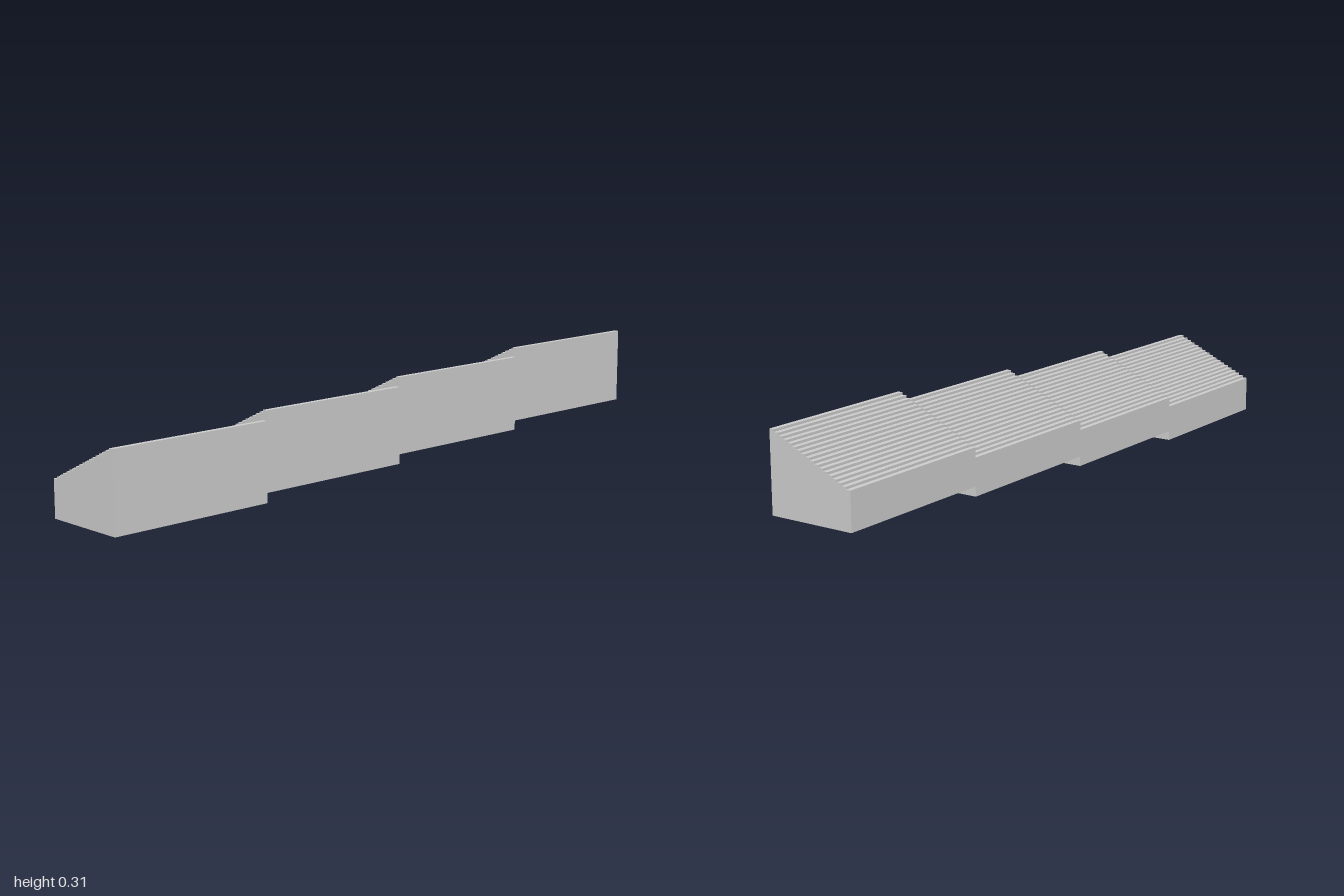
import * as THREE from 'three';

const WIDTH = 0.258, STEPS = 18, LOW = 0.107, HIGH = 0.224; // stepped slope
const SECTIONS = 4, LENGTH = 2 / SECTIONS, LIFT = 0.028; // run of sections

// Cross-section: flat sides and base, stepped slope on top
function profile() {
  const shape = new THREE.Shape();
  const tread = WIDTH / STEPS, rise = (HIGH - LOW) / (STEPS - 1);
  shape.moveTo(WIDTH / 2, 0);
  for (let i = STEPS - 1; i >= 0; i--) {
    const y = LOW + i * rise, x = -WIDTH / 2 + i * tread;
    shape.lineTo(x + tread, y);
    shape.lineTo(x, y);
  }
  shape.lineTo(-WIDTH / 2, 0);
  shape.closePath();
  return shape;
}

// Extruded shell with the base faces removed, so it is open underneath
function openShell() {
  const solid = new THREE.ExtrudeGeometry(profile(), { depth: LENGTH, bevelEnabled: false });
  const p = solid.getAttribute('position');
  const kept = [];
  for (let i = 0; i < p.count; i += 3) {
    if (Math.max(p.getY(i), p.getY(i + 1), p.getY(i + 2)) < 1e-5) continue;
    for (let k = i; k < i + 3; k++) kept.push(p.getX(k), p.getY(k), p.getZ(k));
  }
  const shell = new THREE.BufferGeometry();
  shell.setAttribute('position', new THREE.Float32BufferAttribute(kept, 3));
  shell.computeVertexNormals();
  return shell;
}

export function createModel() {
  const group = new THREE.Group();
  group.name = 'steppedRoofRun';
  const material = new THREE.MeshStandardMaterial({
    color: 0xcccccc, flatShading: true, side: THREE.DoubleSide,
  });
  const shell = openShell();

  // Sections climb from the front to the back
  for (let i = 0; i < SECTIONS; i++) {
    const section = new THREE.Mesh(shell, material);
    section.name = `roofSection${i + 1}`;
    section.position.set(0, i * LIFT, 1 - (i + 1) * LENGTH);
    group.add(section);
  }
  return group;
}
